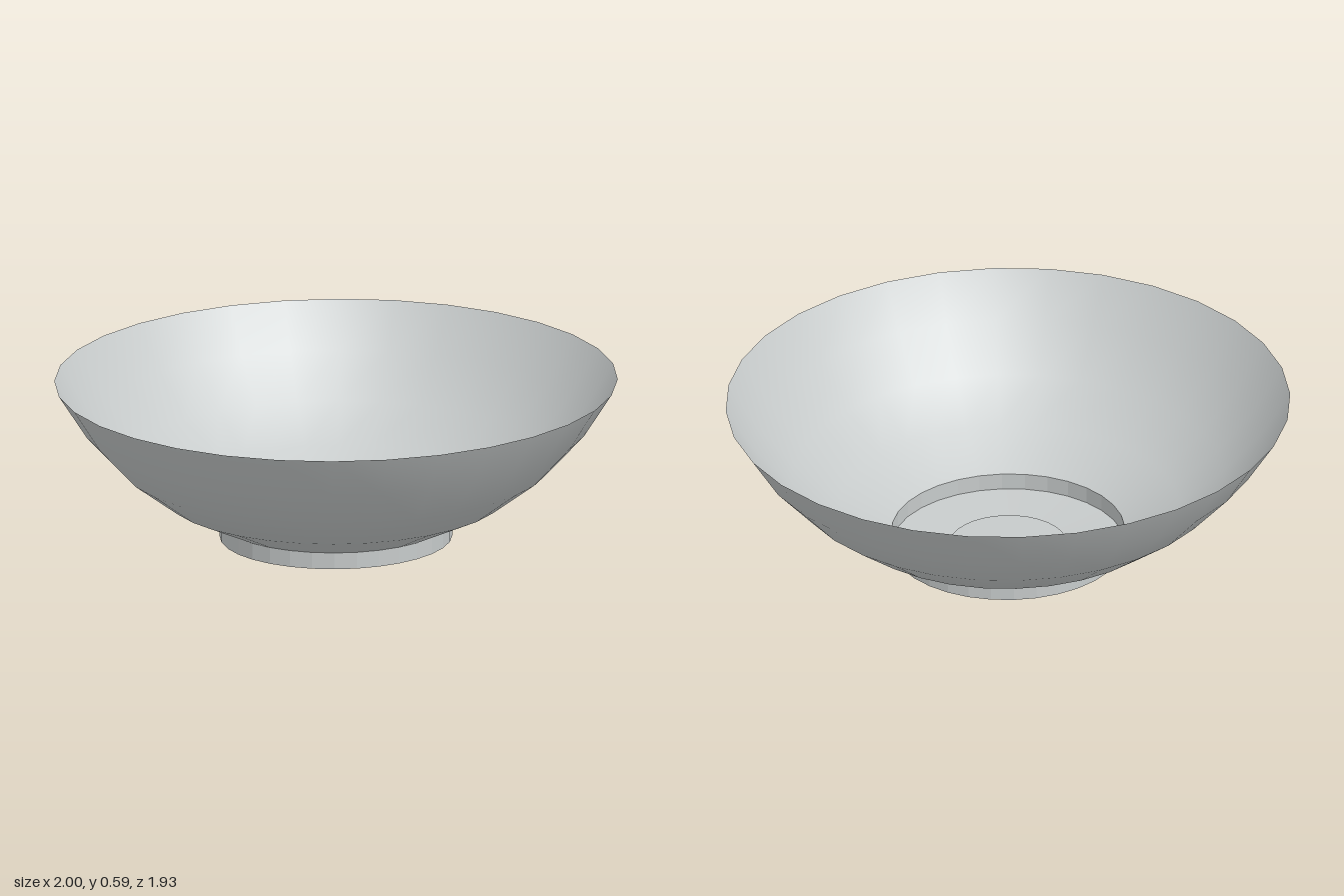
import * as THREE from 'three';

const SEGMENTS = 32;
const DEPTH = 0.967; // the bowl is slightly narrower front to back

export function createModel() {
  const model = new THREE.Group();
  model.name = 'bowl';

  const glaze = new THREE.MeshStandardMaterial({ color: 0xc6caca, side: THREE.DoubleSide });
  glaze.name = 'pale grey glaze';

  // Turn a profile of [radius, height] points around the y axis
  function turn(name, profile, faceted = false) {
    const points = profile.map(([r, y]) => new THREE.Vector2(r, y));
    let geometry = new THREE.LatheGeometry(points, SEGMENTS);
    geometry.scale(1, 1, DEPTH);
    if (faceted) {
      geometry = geometry.toNonIndexed();
      geometry.computeVertexNormals();
    }
    const mesh = new THREE.Mesh(geometry, glaze);
    mesh.name = name;
    model.add(mesh);
  }

  // Thin open wall, smooth from foot to rim
  turn('bowlWall', [[0.413, 0.075], [0.605, 0.165], [0.765, 0.285], [0.9, 0.433], [1, 0.59]]);

  // Faceted foot ring, with a slightly conical underside
  turn('footWall', [[0.413, 0.015], [0.413, 0.075]], true);
  turn('footUnderside', [[0.208, 0], [0.413, 0.015]]);

  // Shallow recess in the middle of the base
  turn('recessWall', [[0.208, 0.02], [0.208, 0]], true);
  turn('recessFloor', [[0, 0.02], [0.208, 0.02]]);

  return model;
}
